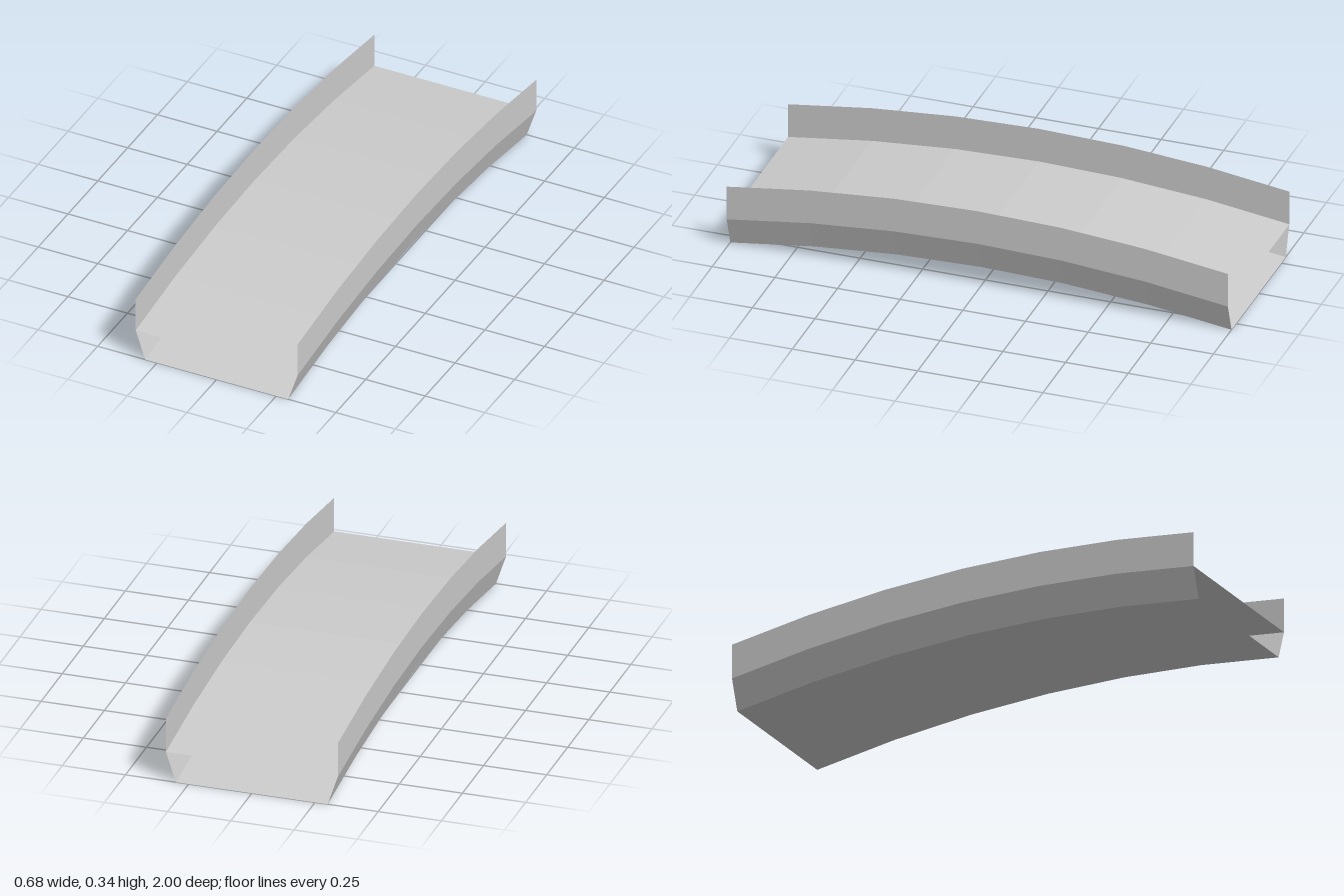
import * as THREE from 'three';

const SEGMENTS = 6;
const RISE = 0.082;

// Height gained by the arch at a given z
const arch = (z) => RISE * (1 - z * z);

// Sheet swept front to back along the arch between two section points [x, y]
function archedSheet(name, a, b, material) {
  const geometry = new THREE.PlaneGeometry(1, 2, 1, SEGMENTS);
  const pos = geometry.attributes.position;
  for (let i = 0; i < pos.count; i++) {
    const [x, y] = pos.getX(i) < 0 ? a : b;
    const z = -pos.getY(i);
    pos.setXYZ(i, x, y + arch(z), z);
  }
  const flat = geometry.toNonIndexed();
  flat.computeVertexNormals();
  const mesh = new THREE.Mesh(flat, material);
  mesh.name = name;
  return mesh;
}

export function createModel() {
  const group = new THREE.Group();
  group.name = 'archedBridge';
  const grey = new THREE.MeshStandardMaterial({ color: 0xcccccc, side: THREE.DoubleSide, flatShading: true });
  grey.name = 'light grey';

  // Walking deck and underside
  group.add(archedSheet('deck', [-0.34, 0.12], [0.34, 0.12], grey));
  group.add(archedSheet('underside', [0.3, 0], [-0.3, 0], grey));

  // Left side: sloped lower panel and upright parapet, facing outwards
  group.add(archedSheet('leftLowerPanel', [0.34, 0.12], [0.3, 0], grey));
  group.add(archedSheet('leftParapet', [0.34, 0.26], [0.34, 0.12], grey));

  // Right side mirrors it
  group.add(archedSheet('rightLowerPanel', [-0.3, 0], [-0.34, 0.12], grey));
  group.add(archedSheet('rightParapet', [-0.34, 0.12], [-0.34, 0.26], grey));
  return group;
}
